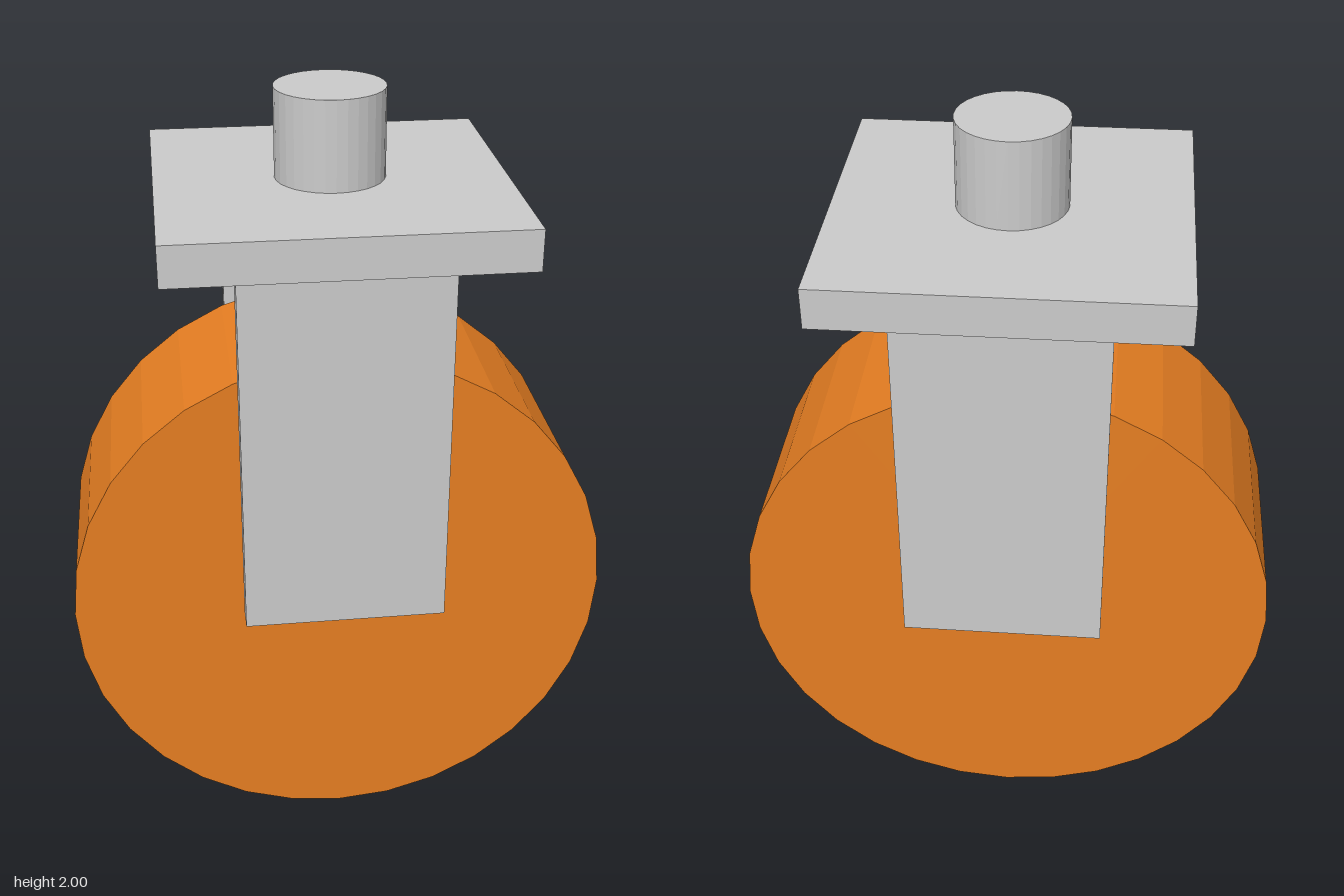
import * as THREE from 'three';

export function createModel() {
  const group = new THREE.Group();
  const grey = new THREE.MeshStandardMaterial({ color: 0xcccccc, flatShading: true });
  const orange = new THREE.MeshStandardMaterial({ color: 0xe67e22, flatShading: true });

  const add = (name, geometry, material, x, y, z) => {
    const mesh = new THREE.Mesh(geometry, material);
    mesh.name = name;
    mesh.position.set(x, y, z);
    group.add(mesh);
    return mesh;
  };

  // Solid faceted wheel, axle along z
  const wheelRadius = 0.697;
  add('wheel', new THREE.CylinderGeometry(wheelRadius, wheelRadius, 0.486, 32).rotateX(Math.PI / 2),
    orange, 0, wheelRadius, 0);

  // Fork legs reach from the axle height up to the plate
  const plateBottom = 1.675, plateTop = 1.777;
  const legHeight = plateBottom - 0.7;
  for (const [name, side] of [['frontForkLeg', 1], ['backForkLeg', -1]]) {
    add(name, new THREE.BoxGeometry(0.516, legHeight, 0.065), grey,
      0, plateBottom - legHeight / 2, side * 0.32);
  }

  // Mounting plate and stem
  add('mountingPlate', new THREE.BoxGeometry(0.866, plateTop - plateBottom, 0.866), grey,
    0, (plateTop + plateBottom) / 2, 0);
  add('stem', new THREE.CylinderGeometry(0.137, 0.137, 2 - plateTop, 32), grey,
    0, (2 + plateTop) / 2, 0);

  return group;
}
